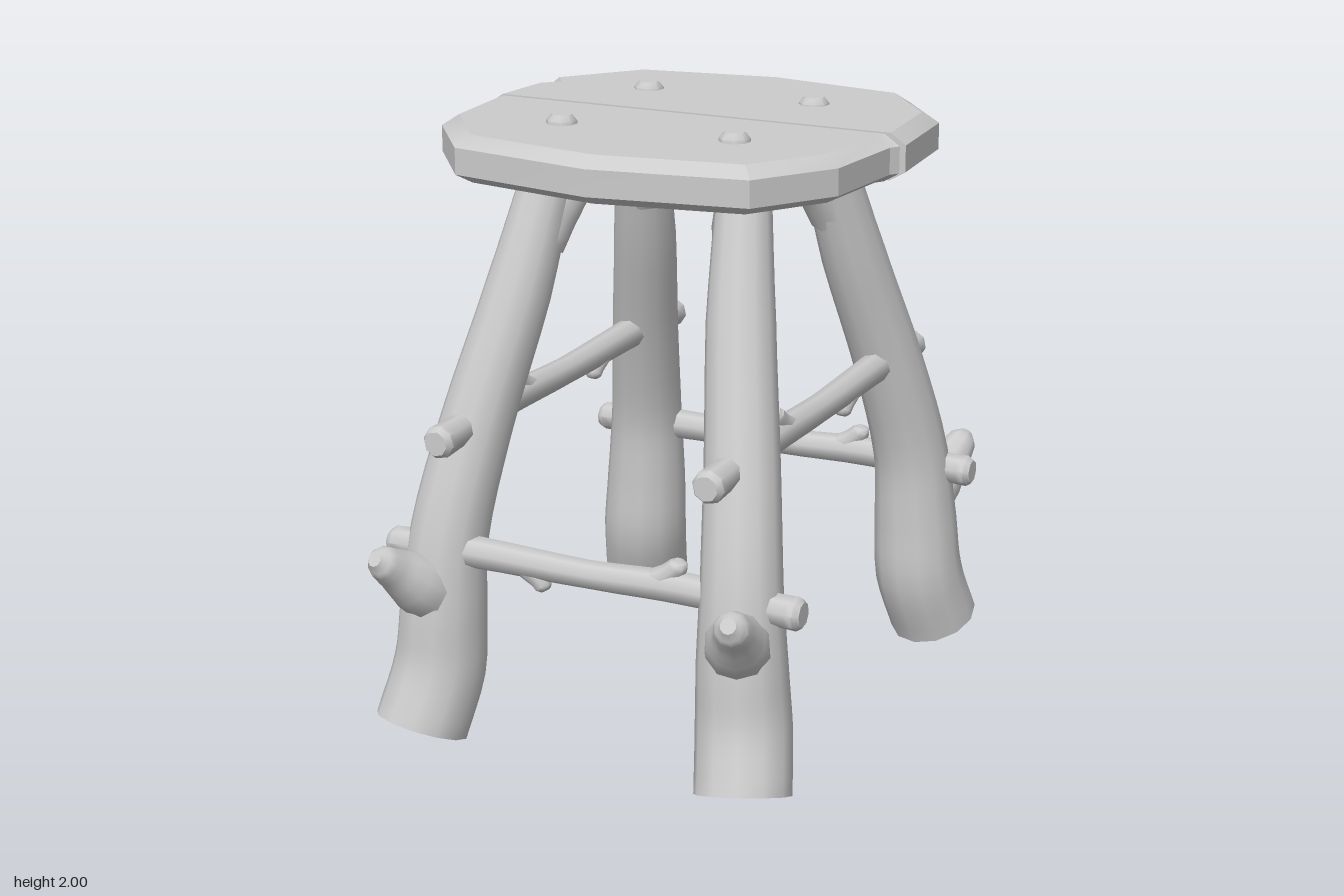
import * as THREE from 'three';
import { toCreasedNormals } from 'three/addons/utils/BufferGeometryUtils.js';

const material = new THREE.MeshStandardMaterial({ color: 0xcccccc });

function makeMesh(name, vertices, index, crease) {
  const geometry = new THREE.BufferGeometry();
  geometry.setAttribute('position', new THREE.Float32BufferAttribute(vertices, 3));
  geometry.setIndex(index);
  const mesh = new THREE.Mesh(toCreasedNormals(geometry, crease), material);
  mesh.name = name;
  return mesh;
}

// Round, tapering piece of wood through stations [x, y, z, radius]
function limb(name, stations, sides = 8, steps = 4) {
  const curve = new THREE.CatmullRomCurve3(stations.map(([x, y, z]) => new THREE.Vector3(x, y, z)));
  const spans = stations.length - 1, rings = spans * steps;
  const vertices = [], index = [];
  const normal = new THREE.Vector3(0.31, 0.17, 0.93);
  for (let i = 0; i <= rings; i++) {
    const t = i / rings, k = Math.min(Math.floor(i / steps), spans - 1);
    const radius = THREE.MathUtils.lerp(stations[k][3], stations[k + 1][3], i / steps - k);
    const p = curve.getPoint(t), tangent = curve.getTangent(t);
    normal.addScaledVector(tangent, -normal.dot(tangent)).normalize();
    const side = tangent.clone().cross(normal);
    for (let j = 0; j < sides; j++) {
      const a = (j / sides) * Math.PI * 2;
      const v = p.clone().addScaledVector(normal, radius * Math.cos(a)).addScaledVector(side, radius * Math.sin(a));
      vertices.push(v.x, v.y, v.z);
    }
  }
  const start = vertices.length / 3, end = start + 1;
  vertices.push(...stations[0].slice(0, 3), ...stations[spans].slice(0, 3));
  for (let j = 0; j < sides; j++) {
    const n = (j + 1) % sides;
    for (let i = 0; i < rings; i++) {
      const a = i * sides + j, b = i * sides + n;
      index.push(a, b, b + sides, a, b + sides, a + sides);
    }
    index.push(start, n, j, end, rings * sides + j, rings * sides + n);
  }
  return makeMesh(name, vertices, index, 0.85);
}

// Seat half with bevelled rim; the outline starts at the seat centre
function plank(name, outline) {
  const levels = [[0.93, 1.82], [1, 1.85], [1, 1.935], [0.93, 1.97]];
  const n = outline.length, top = (levels.length - 1) * n;
  const vertices = [], index = [];
  for (const [s, y] of levels) for (const [x, z] of outline) vertices.push(x * s, y, z * s);
  for (let i = 0; i < n; i++) {
    const next = (i + 1) % n;
    for (let k = 0; k < top; k += n) {
      index.push(k + i, k + next, k + n + next, k + i, k + n + next, k + n + i);
    }
    if (i > 0 && i < n - 1) index.push(top, top + i, top + i + 1, 0, i + 1, i);
  }
  return makeMesh(name, vertices, index, 0.45);
}

// Leg with its knot branch, crook under the seat and peg through the seat
function leg(name, sx, sz) {
  const group = new THREE.Group();
  group.name = name;
  const place = (list) => list.map(([x, y, z, r]) => [x * sx, y, z * sz, r]);
  group.add(limb('legTrunk', place([
    [0.575, 0.057, 0.8, 0.153], [0.543, 0.25, 0.728, 0.152], [0.53, 0.45, 0.715, 0.143],
    [0.515, 0.7, 0.69, 0.128], [0.465, 1.05, 0.585, 0.118], [0.39, 1.45, 0.44, 0.108],
    [0.335, 1.84, 0.305, 0.085],
  ]), 12));
  group.add(limb('legBranch', place([
    [0.53, 0.48, 0.72, 0.11], [0.56, 0.565, 0.82, 0.1], [0.59, 0.63, 0.9, 0.068],
    [0.605, 0.672, 0.955, 0.052], [0.61, 0.69, 0.985, 0.025],
  ]), 10));
  group.add(limb('legCrook', place([
    [0.35, 1.6, 0.37, 0.085], [0.31, 1.72, 0.3, 0.08], [0.26, 1.785, 0.23, 0.055],
    [0.22, 1.795, 0.17, 0.036], [0.21, 1.795, 0.15, 0.02],
  ])));
  group.add(limb('seatPeg', place([
    [0.3, 1.82, 0.3, 0.05], [0.3, 1.98, 0.3, 0.05], [0.3, 2.0, 0.3, 0.033],
  ]), 8, 1));
  return group;
}

// Rung along x with two twig stubs; "lower" and "upper" rungs share this form
function rung(name, half, twigUp, twigDown) {
  const group = new THREE.Group();
  group.name = name;
  group.add(limb('rungStick', [
    [-half, 0, 0, 0.036], [-half + 0.02, 0, 0, 0.05], [-half + 0.3, 0.01, 0, 0.053],
    [0, 0.003, 0, 0.046], [half - 0.4, 0.012, 0, 0.052], [half - 0.15, 0, 0, 0.05],
    [half - 0.02, -0.005, 0, 0.054], [half, -0.005, 0, 0.04],
  ]));
  group.add(limb('twigUp', [
    [twigUp - 0.09, 0.01, 0, 0.045], [twigUp - 0.03, 0.05, 0, 0.036],
    [twigUp + 0.005, 0.085, 0, 0.032], [twigUp + 0.01, 0.1, 0, 0.02],
  ]));
  group.add(limb('twigDown', [
    [twigDown - 0.05, -0.01, 0, 0.04], [twigDown - 0.01, -0.045, 0, 0.032],
    [twigDown + 0.005, -0.068, 0, 0.028], [twigDown + 0.01, -0.078, 0, 0.016],
  ]));
  return group;
}

export function createModel() {
  const model = new THREE.Group();
  model.name = 'rusticStool';

  // Seat of two planks with a chipped edge
  const rear = plank('rearSeatPlank', [
    [0, 0], [0.74, 0], [0.71, -0.36], [0.5, -0.63], [0, -0.71],
    [-0.5, -0.63], [-0.71, -0.36], [-0.66, -0.29], [-0.72, -0.24], [-0.74, 0],
  ]);
  rear.position.y = 0.005;
  const front = plank('frontSeatPlank', [
    [0, 0], [-0.74, 0], [-0.71, 0.35], [-0.5, 0.62], [0, 0.705],
    [0.5, 0.62], [0.67, 0.36], [0.7, 0.03], [0.72, 0],
  ]);
  model.add(rear, front);

  for (const [z, depth] of [[1, 'front'], [-1, 'rear']]) {
    model.add(leg(depth + 'LeftLeg', 1, z), leg(depth + 'RightLeg', -1, z));
    const lower = rung(depth + 'LowerRung', 0.72, 0.3, -0.17);
    lower.position.set(0.01, 0.65, 0.72 * z);
    lower.rotation.y = 0.014;
    model.add(lower);
  }

  // Side rungs run front to back
  for (const [x, side] of [[1, 'left'], [-1, 'right']]) {
    const upper = rung(side + 'UpperRung', 0.835, 0.34, -0.2);
    upper.rotation.y = -Math.PI / 2;
    upper.position.set(0.465 * x, 1.05, 0.005);
    model.add(upper);
  }
  return model;
}
